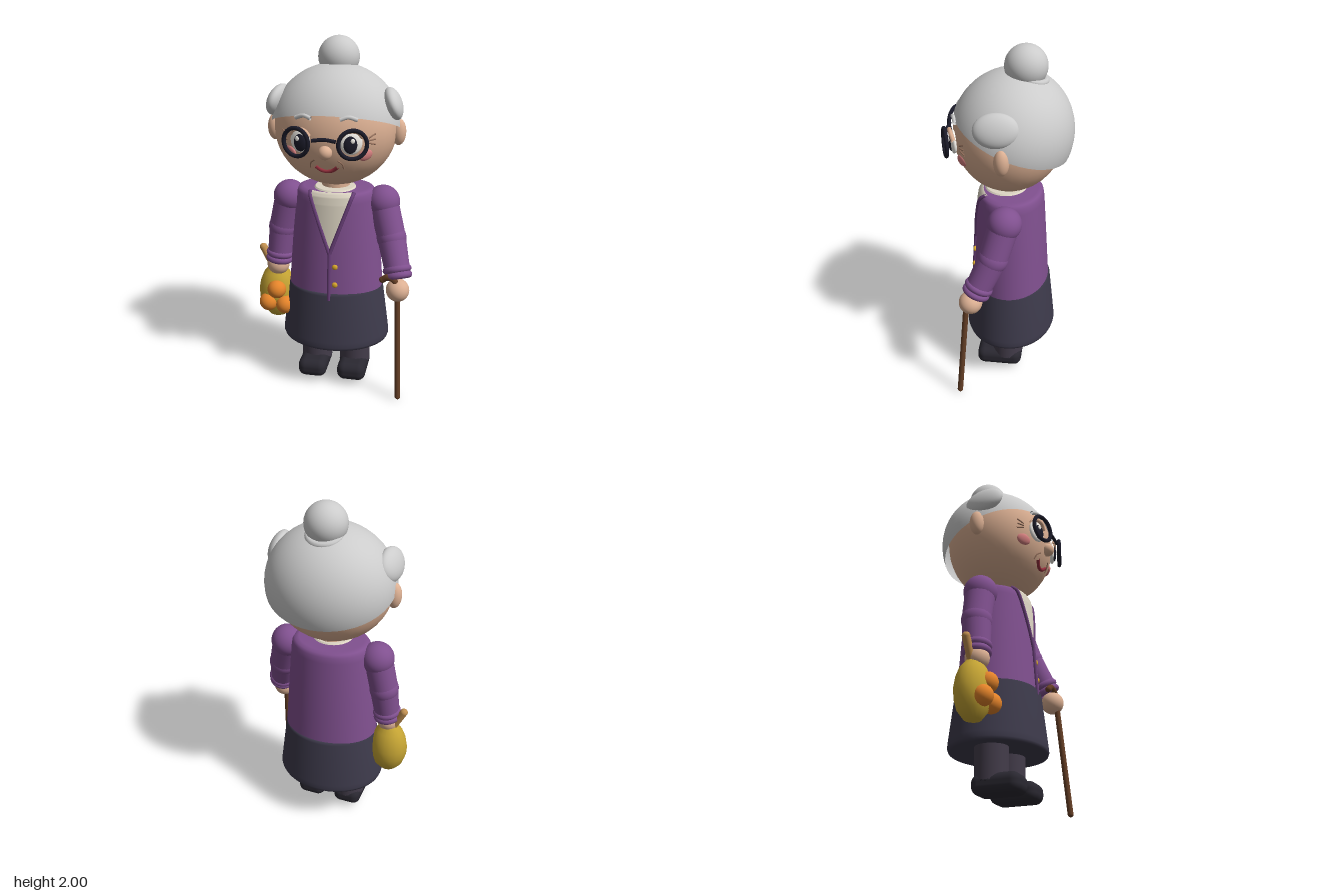
import * as THREE from 'three';
import { RoundedBoxGeometry } from 'three/addons/geometries/RoundedBoxGeometry.js';
import { ParametricGeometry } from 'three/addons/geometries/ParametricGeometry.js';

const V = (x, y, z) => new THREE.Vector3(x, y, z);
const mat = (color) => new THREE.MeshStandardMaterial({ color, side: THREE.DoubleSide });
const M = {
  skin: mat(0xdcb093), hair: mat(0xbcbcbc), purple: mat(0x80508f), trim: mat(0x693f78),
  skirt: mat(0x3d3a4b), stocking: mat(0x433c4a), shoe: mat(0x2a2831), cream: mat(0xded6c4),
  black: mat(0x1b1b29), white: mat(0xf3f0ea), pink: mat(0xd98282), lip: mat(0x98323f),
  crease: mat(0x9a745f), gold: mat(0xd8a62c), sack: mat(0xc6a534), orange: mat(0xe5842a),
  tan: mat(0xc08f50), wood: mat(0x653f26),
};

export function createModel() {
  const root = new THREE.Group();
  const add = (name, geo, m, pos = [0, 0, 0], rot = [0, 0, 0], parent = root) => {
    const mesh = new THREE.Mesh(geo, m);
    mesh.name = name;
    mesh.position.set(...pos);
    mesh.rotation.set(...rot);
    parent.add(mesh);
    return mesh;
  };
  const ball = (name, m, pos, r, rot, parent) => {
    const mesh = add(name, new THREE.SphereGeometry(1, 36, 24), m, pos, rot, parent);
    mesh.scale.set(...(Array.isArray(r) ? r : [r, r, r]));
    return mesh;
  };
  const rod = (name, m, a, b, ra, rb = ra) => {
    const d = b.clone().sub(a);
    const mesh = add(name, new THREE.CylinderGeometry(rb, ra, d.length(), 24), m, a.clone().add(b).multiplyScalar(0.5).toArray());
    mesh.quaternion.setFromUnitVectors(V(0, 1, 0), d.normalize());
    return mesh;
  };
  const tube = (name, m, pts, r, parent) =>
    add(name, new THREE.TubeGeometry(new THREE.CatmullRomCurve3(pts), 20, r, 8), m, undefined, undefined, parent);

  // Head
  const HC = [0, 1.53, -0.01], HR = [0.335, 0.322, 0.3];
  ball('head', M.skin, HC, HR);
  const face = (x, y, lift = 0) =>
    V(x, y, HC[2] + lift + HR[2] * Math.sqrt(Math.max(0, 1 - (x / HR[0]) ** 2 - ((y - HC[1]) / HR[1]) ** 2)));

  // Hair: a half shell tipped back, with a top bun and two side rolls
  const cap = add('hairCap', new THREE.SphereGeometry(1, 48, 20, 0, Math.PI * 2, 0, Math.PI / 2), M.hair,
    [0, 1.525, -0.025], [-0.37, 0, 0]);
  cap.scale.set(0.355, 0.342, 0.326);
  ball('bun', M.hair, [0, 1.888, -0.093], 0.112);
  add('bunBand', new THREE.TorusGeometry(0.083, 0.018, 10, 32), M.hair, [0, 1.838, -0.115], [Math.PI / 2 - 0.3, 0, 0]);

  add('neck', new THREE.CylinderGeometry(0.075, 0.08, 0.1, 28), M.skin, [0, 1.21, -0.01]);

  // Mirrored parts of the head and legs
  for (const s of [-1, 1]) {
    ball('sideRoll', M.hair, [s * 0.312, 1.667, 0.02], [0.048, 0.088, 0.116], [0, s * 0.12, s * 0.35]);
    ball('ear', M.skin, [s * 0.342, 1.51, -0.01], [0.04, 0.072, 0.04]);

    const eye = new THREE.Group();
    eye.name = 'eye';
    eye.position.set(s * 0.132, 1.51, 0.268);
    eye.rotation.y = s * 0.33;
    root.add(eye);
    ball('eyeWhite', M.white, [0, 0, 0], [0.058, 0.064, 0.02], [0, 0, 0], eye);
    ball('pupil', M.black, [-s * 0.006, -0.008, 0.013], [0.036, 0.046, 0.014], [0, 0, 0], eye);
    ball('glint', M.white, [s * 0.004, 0.014, 0.026], [0.011, 0.013, 0.005], [0, 0, 0], eye);
    tube('eyelid', M.skin, [V(-0.058, 0.028, 0.008), V(-0.03, 0.058, 0.016), V(0.03, 0.058, 0.016), V(0.058, 0.028, 0.008)], 0.012, eye);
    add('lensRim', new THREE.TorusGeometry(0.073, 0.011, 12, 40), M.black, [0, 0, 0.044], [0, 0, 0], eye);

    tube('eyebrow', M.hair, [face(s * 0.075, 1.628, 0.012), face(s * 0.115, 1.639, 0.014), face(s * 0.16, 1.624, 0.012)], 0.011);
    ball('cheek', M.pink, face(s * 0.197, 1.435, -0.003).toArray(), [0.042, 0.032, 0.014], [0.25, s * 0.7, 0]);
    tube('smileLine', M.crease, [face(s * 0.06, 1.41), face(s * 0.082, 1.39), face(s * 0.088, 1.36)], 0.004);
    for (const k of [-1, 0, 1])
      tube('crowsFoot', M.crease, [face(s * 0.213, 1.513 + k * 0.012), face(s * 0.228, 1.515 + k * 0.02), face(s * 0.245, 1.517 + k * 0.028)], 0.004);

    rod('leg', M.stocking, V(s * 0.115, 0.1, -0.01), V(s * 0.115, 0.32, -0.01), 0.09);
    add('shoeCollar', new THREE.CylinderGeometry(0.088, 0.09, 0.05, 28), M.shoe, [s * 0.115, 0.12, -0.01]);
    add('shoe', new RoundedBoxGeometry(0.168, 0.108, 0.265, 5, 0.045), M.shoe, [s * 0.117, 0.085, 0.033]);
  }
  tube('glassesBridge', M.black, [V(-0.062, 1.525, 0.325), V(0, 1.532, 0.322), V(0.062, 1.525, 0.325)], 0.01);
  ball('nose', M.skin, [0, 1.455, 0.287], 0.037);
  tube('mouth', M.lip, [face(-0.058, 1.372), face(-0.03, 1.35), face(0, 1.343), face(0.03, 1.35), face(0.058, 1.372)], 0.011);

  // Torso and skirt: oval lathes
  const DEPTH = 0.8, TZ = -0.02;
  const oval = (name, m, pts, depth) => {
    const mesh = add(name, new THREE.LatheGeometry(pts.map(([r, y]) => new THREE.Vector2(r, y)), 56), m, [0, 0, TZ]);
    mesh.scale.z = depth;
  };
  const torso = [[0.274, 0.56], [0.271, 0.62], [0.25, 0.88], [0.229, 1.13], [0.222, 1.165], [0.21, 1.182], [0.185, 1.19], [0, 1.192]];
  oval('cardigan', M.purple, torso, DEPTH);
  oval('skirt', M.skirt, [[0, 0.285], [0.28, 0.283], [0.295, 0.272], [0.308, 0.274], [0.314, 0.29], [0.311, 0.32], [0.274, 0.6], [0.262, 0.615], [0, 0.615]], 0.83);

  // Point on the front of the cardigan
  const front = (x, y, lift = 0) => {
    let i = 1;
    while (i < 6 && torso[i][1] < y) i++;
    const [r0, y0] = torso[i - 1], [r1, y1] = torso[i];
    const r = r0 + (r1 - r0) * (y - y0) / (y1 - y0);
    return V(x, y + lift * 0.3, TZ + lift + DEPTH * Math.sqrt(Math.max(0, r * r - x * x)));
  };
  const half = (y) => 0.122 * (y - 0.85) / 0.34;
  add('blouse', new ParametricGeometry((u, v, p) => {
    const y = 0.85 + 0.34 * v;
    p.copy(front((u * 2 - 1) * half(y), y, 0.005));
  }, 14, 40), M.cream);
  add('blouseTop', new THREE.CylinderGeometry(0.11, 0.12, 0.012, 32), M.cream, [0, 1.192, 0.01]);
  for (const s of [-1, 1])
    tube('lapel', M.trim, [0.85, 0.95, 1.05, 1.13, 1.165, 1.187].map((y) => front(s * half(y), y, 0.004)), 0.011);
  tube('placket', M.trim, [0.86, 0.76, 0.66, 0.575].map((y) => front(0, y, 0.006)), 0.01);
  for (const y of [0.775, 0.67]) ball('button', M.gold, front(0.032, y, 0.004).toArray(), [0.016, 0.016, 0.01]);

  // Arms: shoulder, elbow and wrist points with cuff and hand
  const arm = (shoulder, elbow, wrist, hand) => {
    ball('shoulder', M.purple, shoulder.toArray(), 0.093);
    rod('upperSleeve', M.purple, shoulder, elbow, 0.084, 0.08);
    ball('elbow', M.purple, elbow.toArray(), 0.083);
    rod('lowerSleeve', M.purple, elbow, wrist, 0.08, 0.07);
    const dir = wrist.clone().sub(elbow).normalize();
    for (const [back, r] of [[0, 0.058], [0.035, 0.06]]) {
      const cuff = add('cuff', new THREE.TorusGeometry(r, 0.021, 12, 32), M.purple, wrist.clone().addScaledVector(dir, -back).toArray());
      cuff.quaternion.setFromUnitVectors(V(0, 0, 1), dir);
    }
    ball('hand', M.skin, hand.toArray(), 0.065);
  };
  arm(V(0.268, 1.11, -0.015), V(0.325, 0.92, 0.04), V(0.378, 0.73, 0.128), V(0.38, 0.657, 0.16));
  arm(V(-0.268, 1.11, -0.015), V(-0.312, 0.92, -0.015), V(-0.335, 0.725, 0), V(-0.342, 0.69, 0.005));

  // Walking stick
  rod('caneShaft', M.wood, V(0.407, 0.015, 0.235), V(0.38, 0.69, 0.18), 0.016);
  ball('caneTip', M.wood, [0.407, 0.017, 0.235], 0.016);
  tube('caneHandle', M.wood, [V(0.38, 0.68, 0.18), V(0.36, 0.722, 0.178), V(0.325, 0.735, 0.172), V(0.295, 0.715, 0.166)], 0.018);
  ball('caneHandleEnd', M.wood, [0.295, 0.715, 0.166], 0.018);

  // Shopping sack with fruit and a stick handle
  const sackPts = [[0, 0.35], [0.05, 0.36], [0.088, 0.405], [0.107, 0.465], [0.11, 0.52], [0.1, 0.575], [0.078, 0.63], [0.045, 0.665], [0.03, 0.69]];
  const sack = add('sack', new THREE.LatheGeometry(sackPts.map(([r, y]) => new THREE.Vector2(r, y)), 18), M.sack, [-0.355, 0, -0.01]);
  sack.scale.z = 0.88;
  for (const [x, y, z] of [[-0.34, 0.55, 0.065], [-0.392, 0.465, 0.062], [-0.292, 0.455, 0.062]])
    ball('orange', M.orange, [x, y, z], 0.055);
  rod('sackHandle', M.tan, V(-0.375, 0.66, -0.01), V(-0.436, 0.78, -0.015), 0.022);
  ball('sackHandleEnd', M.tan, [-0.436, 0.78, -0.015], 0.022);

  return root;
}
